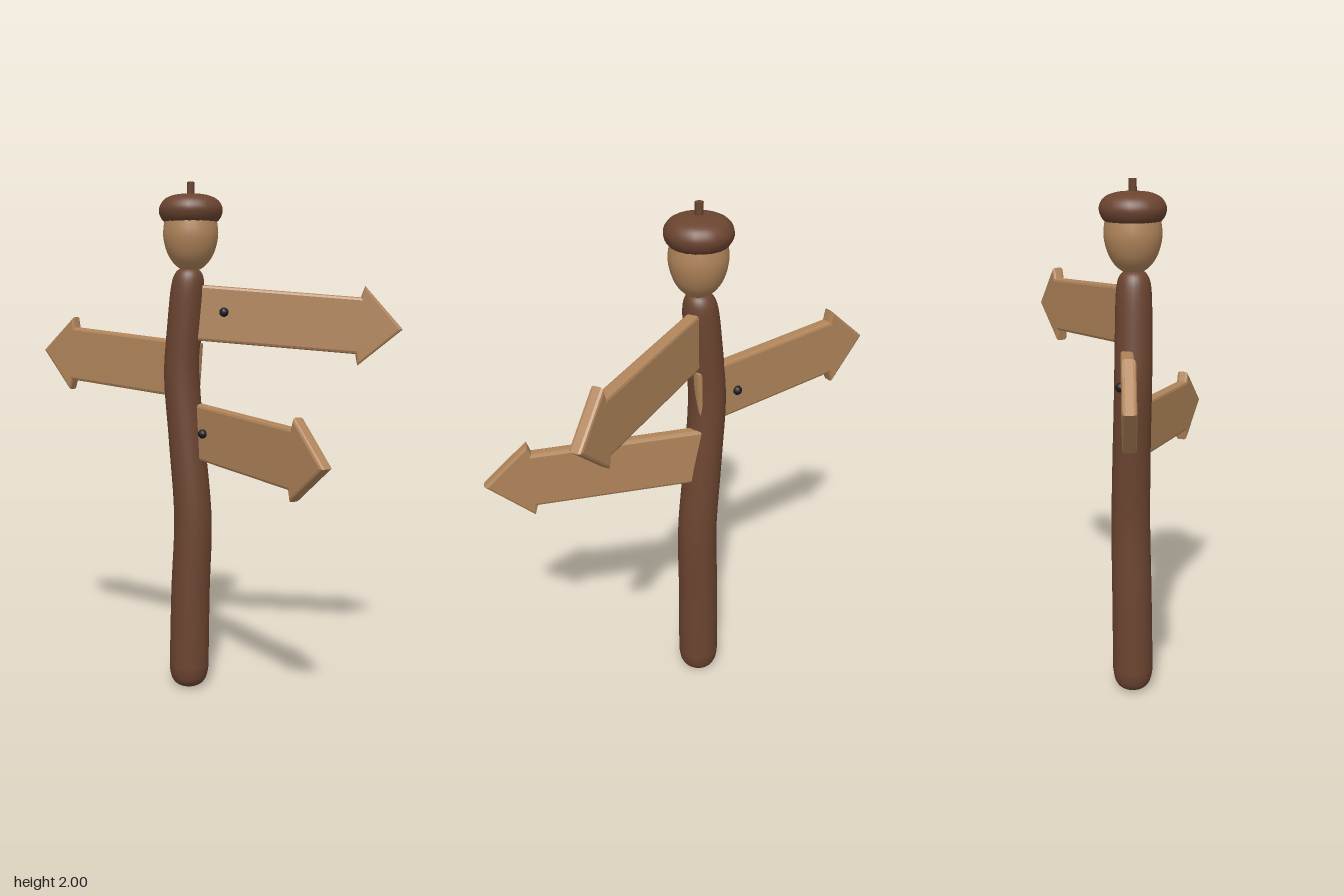
import * as THREE from 'three';
import { mergeVertices } from 'three/addons/utils/BufferGeometryUtils.js';

const mat = (name, color) => {
  const m = new THREE.MeshStandardMaterial({ color });
  m.name = name;
  return m;
};

function add(parent, name, geometry, material) {
  const mesh = new THREE.Mesh(geometry, material);
  mesh.name = name;
  parent.add(mesh);
  return mesh;
}

// Lathe from [radius, y] pairs, smoothed through a spline
function turned(points, segments, steps) {
  const curve = new THREE.SplineCurve(points.map(([r, y]) => new THREE.Vector2(r, y)));
  const profile = curve.getPoints(steps).map(p => new THREE.Vector2(Math.max(p.x, 0), p.y));
  return new THREE.LatheGeometry(profile, segments);
}

// Crooked log: a turned profile whose rings slide along a wavy centre line
function logGeometry() {
  const profile = [[0, 0], [0.04, 0.007], [0.066, 0.03], [0.078, 0.075], [0.079, 0.14],
    [0.077, 0.5], [0.074, 0.8], [0.071, 1.1], [0.07, 1.3], [0.068, 1.5], [0.065, 1.6],
    [0.056, 1.65], [0.035, 1.675], [0, 1.682]];
  const bend = new THREE.CatmullRomCurve3([
    [-0.037, 0, -0.12], [-0.03, 0.4, -0.12], [-0.02, 0.7, -0.12], [-0.045, 1.0, -0.12],
    [-0.066, 1.27, -0.117], [-0.05, 1.47, -0.11], [-0.033, 1.65, -0.104], [-0.03, 1.7, -0.103],
  ].map(p => new THREE.Vector3(...p)));
  const centres = bend.getPoints(200);
  let geo = turned(profile, 24, 65);
  geo.deleteAttribute('uv');
  geo.deleteAttribute('normal');
  geo = mergeVertices(geo, 1e-5);
  const pos = geo.attributes.position;
  for (let i = 0; i < pos.count; i++) {
    const y = pos.getY(i);
    const k = Math.max(1, centres.findIndex(c => c.y >= y));
    const a = centres[k - 1], b = centres[k];
    const c = a.clone().lerp(b, (y - a.y) / (b.y - a.y));
    pos.setXYZ(i, pos.getX(i) + c.x, y, pos.getZ(i) + c.z);
  }
  geo.computeVertexNormals();
  return geo;
}

// Arrow board along +x, with softened edges
function arrowGeometry(neck, tip, half, headHalf) {
  const s = new THREE.Shape();
  s.moveTo(0, -half);
  s.lineTo(neck, -half);
  s.lineTo(neck + 0.012, -headHalf);
  s.lineTo(tip, 0);
  s.lineTo(neck + 0.012, headHalf);
  s.lineTo(neck, half);
  s.lineTo(0, half);
  s.closePath();
  const bevel = 0.011;
  const geo = new THREE.ExtrudeGeometry(s, {
    depth: 0.026, bevelThickness: bevel, bevelSize: bevel, bevelOffset: -bevel, bevelSegments: 2,
  });
  return geo.translate(0, 0, -0.013);
}

export function createModel() {
  const root = new THREE.Group();
  root.name = 'signpost';
  const bark = mat('dark bark', 0x6b4430);
  const wood = mat('light wood', 0xb0845a);
  const iron = mat('black iron', 0x1c1c20);

  add(root, 'post', logGeometry(), bark);

  // Acorn finial
  const acorn = new THREE.Group();
  acorn.name = 'acorn';
  acorn.position.set(-0.024, 0, -0.104);
  root.add(acorn);
  add(acorn, 'nut', turned([[0, 1.664], [0.03, 1.67], [0.06, 1.69], [0.084, 1.722],
    [0.1, 1.765], [0.106, 1.81], [0.1, 1.86]], 24, 18), wood);
  add(acorn, 'cap', turned([[0, 1.848], [0.085, 1.848], [0.108, 1.858], [0.121, 1.885],
    [0.119, 1.91], [0.1, 1.936], [0.06, 1.952], [0, 1.957]], 20, 28), bark);
  const stem = add(acorn, 'stem', new THREE.CylinderGeometry(0.015, 0.015, 0.06, 8), bark);
  stem.position.y = 1.97;

  // Arrow boards, each with a bolt on its outward face
  const boards = [
    { name: 'upperSign', at: [-0.04, 1.512, -0.105], yaw: 15, tilt: -0.078,
      size: [0.657, 0.824, 0.107, 0.15], bolt: [0.146, 0.01, 0.026] },
    { name: 'middleSign', at: [0.003, 1.28, -0.125], yaw: 168.2, tilt: 0.078,
      size: [0.62, 0.784, 0.11, 0.152], bolt: [0.168, -0.015, 0.026] },
    { name: 'lowerSign', at: [-0.03, 1.047, -0.148], yaw: -35, tilt: -0.05,
      size: [0.643, 0.826, 0.109, 0.149], bolt: [0.115, 0.004, 0.032] },
  ];
  for (const b of boards) {
    const g = new THREE.Group();
    g.name = b.name;
    g.position.set(...b.at);
    g.rotation.set(0, THREE.MathUtils.degToRad(b.yaw), b.tilt);
    root.add(g);
    add(g, 'arrowBoard', arrowGeometry(...b.size), wood);
    add(g, 'bolt', new THREE.SphereGeometry(0.018, 12, 8), iron).position.set(...b.bolt);
  }
  return root;
}
